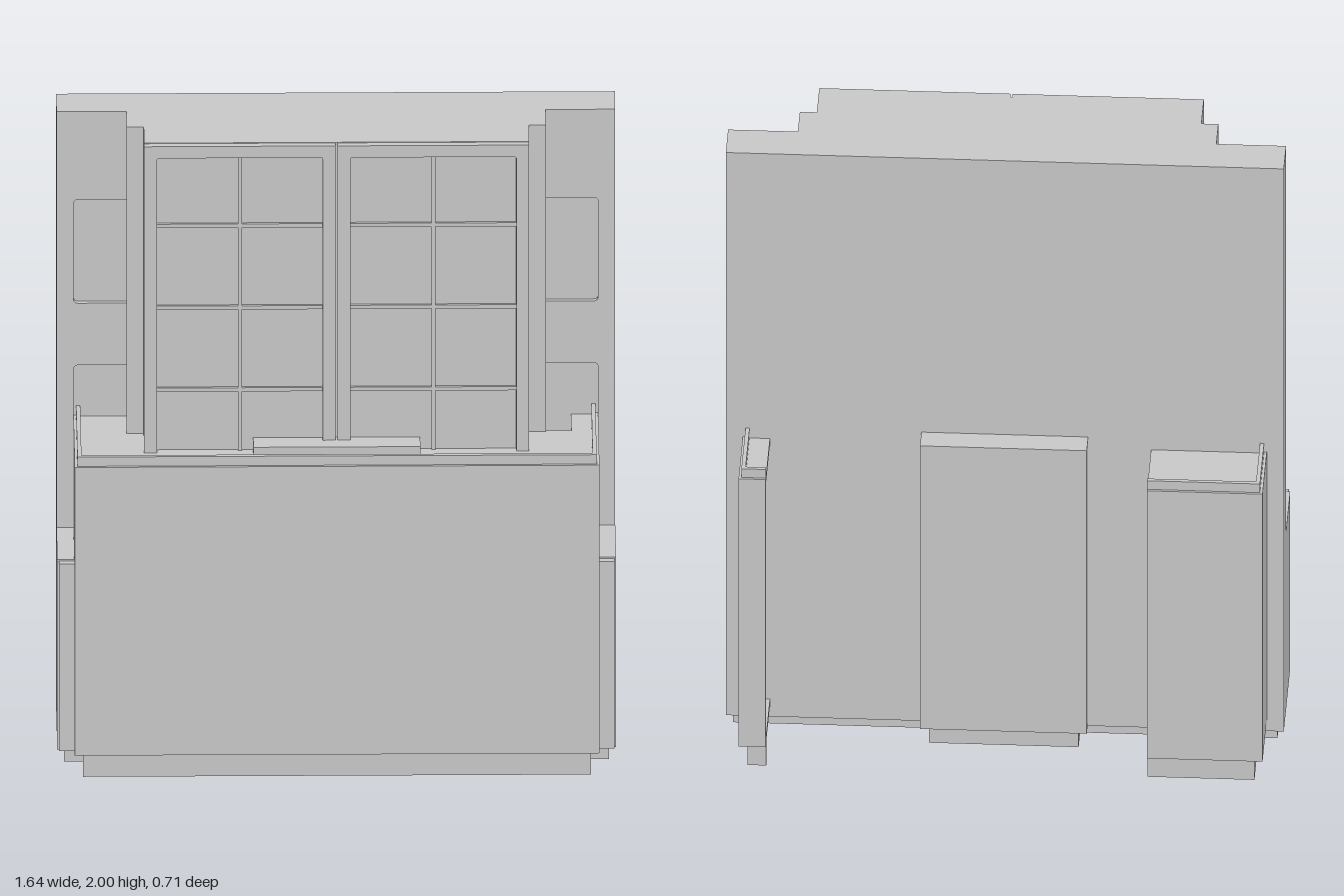
import * as THREE from 'three';

const material = new THREE.MeshStandardMaterial({ color: 0xcccccc, flatShading: true, side: THREE.DoubleSide });

export function createModel() {
  const model = new THREE.Group();

  const add = (name, geometry) => {
    const mesh = new THREE.Mesh(geometry, material);
    mesh.name = name;
    model.add(mesh);
    return mesh;
  };

  // Box given by its limits on each axis
  const block = (name, x0, x1, y0, y1, z0, z1) => {
    const mesh = add(name, new THREE.BoxGeometry(x1 - x0, y1 - y0, z1 - z0));
    mesh.position.set((x0 + x1) / 2, (y0 + y1) / 2, (z0 + z1) / 2);
    return mesh;
  };

  const polygon = (points) => new THREE.Shape(points.map(([x, y]) => new THREE.Vector2(x, y)));

  const rectangle = (x0, x1, y0, y1) => [[x0, y0], [x1, y0], [x1, y1], [x0, y1]];

  // Floor-plan outline of [x, z] points raised from y0 to y1
  const raise = (name, plan, y0, y1, hole) => {
    const shape = polygon(plan.map(([x, z]) => [x, -z]));
    if (hole) shape.holes.push(polygon(hole.map(([x, z]) => [x, -z])));
    const geometry = new THREE.ExtrudeGeometry(shape, { depth: y1 - y0, bevelEnabled: false });
    geometry.rotateX(-Math.PI / 2);
    geometry.translate(0, y0, 0);
    return add(name, geometry);
  };

  // Upright plate with openings, facing the front
  const plate = (name, outline, holes, z0, z1) => {
    const shape = polygon(outline);
    shape.holes.push(...holes);
    const geometry = new THREE.ExtrudeGeometry(shape, { depth: z1 - z0, bevelEnabled: false });
    geometry.translate(0, 0, z0);
    return add(name, geometry);
  };

  const roundedOpening = (x0, x1, y0, y1, r) => {
    const p = new THREE.Path();
    p.moveTo(x0 + r, y0);
    p.lineTo(x1 - r, y0).quadraticCurveTo(x1, y0, x1, y0 + r);
    p.lineTo(x1, y1 - r).quadraticCurveTo(x1, y1, x1 - r, y1);
    p.lineTo(x0 + r, y1).quadraticCurveTo(x0, y1, x0, y1 - r);
    p.lineTo(x0, y0 + r).quadraticCurveTo(x0, y0, x0 + r, y0);
    return p;
  };

  // Tall back panel with shallow recesses beside the doors
  block('backPanel', -0.82, 0.82, 0.04, 2, -0.125, -0.015);
  const recesses = [];
  for (const y of [0.845, 1.38]) {
    recesses.push(roundedOpening(0.5, 0.77, y, y + 0.335, 0.015));
    recesses.push(roundedOpening(-0.77, -0.5, y, y + 0.335, 0.015));
  }
  plate('panelFacing', rectangle(-0.82, 0.82, 0.04, 2), recesses, -0.015, 0);

  // Lower cabinet and stepped upper cabinet
  block('lowerCabinet', -0.82, 0.82, 0.04, 0.655, 0, 0.222);
  block('lowerCabinetFront', -0.815, 0.815, 0.045, 0.65, 0.222, 0.243);
  block('upperCabinetStep', -0.615, 0.615, 0.655, 2, 0, 0.108);
  block('upperCabinet', -0.565, 0.565, 0.655, 2, 0.1, 0.222);

  // Pair of glazed doors with glazing bars
  for (const side of [-1, 1]) {
    const a = side < 0 ? -0.565 : 0.003;
    const b = side < 0 ? -0.003 : 0.565;
    const opening = roundedOpening(a + 0.038, b - 0.038, 0.695, 1.96, 0.006);
    plate('doorFrame', rectangle(a, b, 0.66, 1.998), [opening], 0.222, 0.243);
    const mid = (a + b) / 2;
    block('doorUpright', mid - 0.006, mid + 0.006, 0.69, 1.96, 0.22, 0.23);
    for (let i = 0; i < 4; i++) {
      const y = 1.735 - i * 0.265;
      block('doorCrossbar', a + 0.035, b - 0.035, y - 0.006, y + 0.006, 0.22, 0.23);
    }
  }

  // Counter shell: open at the back between x = -0.43 and 0.69
  const band = (inset, t) => {
    const x = 0.77 - inset, f = 0.352 - inset, b = -0.355 + inset, l = -0.43, r = 0.69;
    return [
      [r, b], [x, b], [x, f], [-x, f], [-x, b], [l, b],
      [l, b + t], [-x + t, b + t], [-x + t, f - t], [x - t, f - t], [x - t, b + t], [r, b + t],
    ];
  };
  const deck = (inset) => {
    const x = 0.77 - inset, f = 0.352 - inset, b = -0.355 + inset;
    return [[0.69, b], [x, b], [x, f], [-x, f], [-x, b], [-0.43, b], [-0.43, 0.1], [0.69, 0.1]];
  };
  raise('counterWall', band(0, 0.018), 0.08, 1.012);
  raise('counterRim', band(0.008, 0.012), 1.012, 1.042);
  raise('counterTop', deck(0.01), 0.99, 1.008);
  raise('counterFloor', deck(0.01), 0.081, 0.1);
  raise('counterPlinth', band(0.025, 0.018), 0, 0.082);

  // Central pier running through the counter from front to back
  block('centralPier', -0.245, 0.245, 0.06, 1.046, -0.2, 0.29);

  // Hollow plinths under the cabinet and the pier
  raise('cabinetPlinth', rectangle(-0.8, 0.8, -0.1, 0.22), 0, 0.045, rectangle(-0.78, 0.78, -0.08, 0.2));
  raise('pierPlinth', rectangle(-0.22, 0.22, -0.18, 0.27), 0, 0.062, rectangle(-0.2, 0.2, -0.16, 0.25));

  return model;
}
